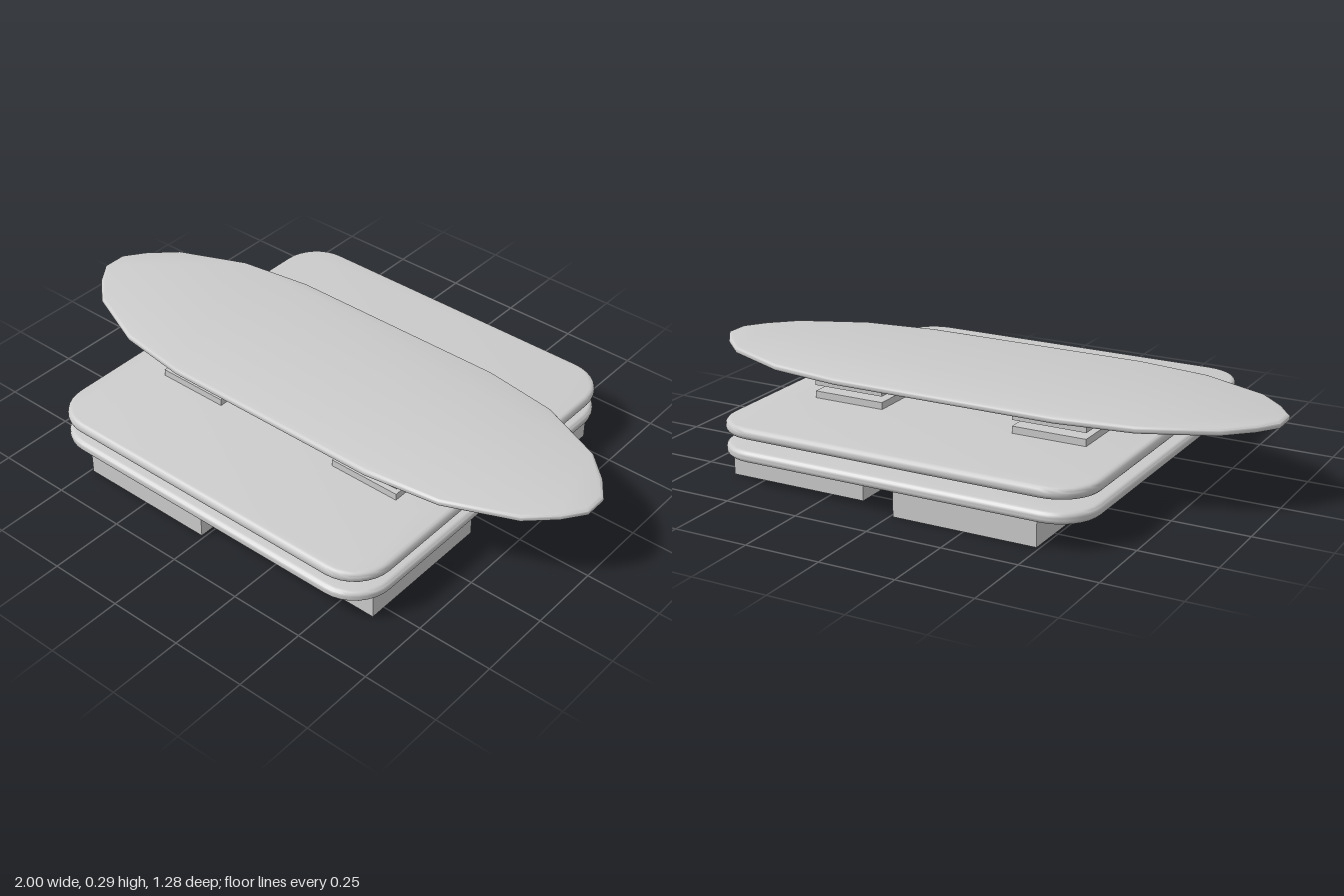
import * as THREE from 'three';
import { toCreasedNormals } from 'three/addons/utils/BufferGeometryUtils.js';

const material = new THREE.MeshStandardMaterial({ color: 0xcccccc });

// Flat slab with a rounded rim, extruded upwards from a plan outline
function slab(name, shape, y0, y1, bevel) {
  let geo = new THREE.ExtrudeGeometry(shape, {
    depth: y1 - y0 - 2 * bevel, curveSegments: 4,
    bevelEnabled: true, bevelThickness: bevel, bevelSize: bevel,
    bevelOffset: -bevel, bevelSegments: 3,
  });
  geo.rotateX(-Math.PI / 2);
  geo.translate(0, y0 + bevel, 0);
  geo = toCreasedNormals(geo, 0.7);
  const mesh = new THREE.Mesh(geo, material);
  mesh.name = name;
  return mesh;
}

function box(name, w, y0, y1, x, z) {
  const mesh = new THREE.Mesh(new THREE.BoxGeometry(w, y1 - y0, w), material);
  mesh.position.set(x, (y0 + y1) / 2, z);
  mesh.name = name;
  return mesh;
}

function roundedSquare(h, r) {
  const s = new THREE.Shape();
  const c = h - r;
  s.absarc(c, c, r, 0, Math.PI / 2);
  s.absarc(-c, c, r, Math.PI / 2, Math.PI);
  s.absarc(-c, -c, r, Math.PI, Math.PI * 1.5);
  s.absarc(c, -c, r, Math.PI * 1.5, Math.PI * 2);
  s.closePath();
  return s;
}

// Pointed oval outline, one quarter mirrored to four
function deckOutline() {
  const q = [[1, 0.04], [0.95, 0.11], [0.865, 0.19], [0.64, 0.287], [0.39, 0.322]];
  const half = [...q, ...q.map(([x, z]) => [-x, z]).reverse()];
  const all = [...half, ...half.map(([x, z]) => [x, -z]).reverse()];
  return new THREE.Shape(all.map(([x, z]) => new THREE.Vector2(x, z)));
}

// Short coil between a pair of pads
function spring(x, z) {
  const pts = [];
  for (let i = 0; i <= 24; i++) {
    const a = (i / 24) * Math.PI * 4;
    pts.push(new THREE.Vector3(Math.cos(a) * 0.046, 0.222 + 0.016 * (i / 24), Math.sin(a) * 0.046));
  }
  const geo = new THREE.TubeGeometry(new THREE.CatmullRomCurve3(pts), 64, 0.004, 6);
  const mesh = new THREE.Mesh(geo, material);
  mesh.position.set(x, 0, z);
  mesh.name = 'spring';
  return mesh;
}

export function createModel() {
  const model = new THREE.Group();
  model.name = 'balanceBoard';

  // Feet: the left pair sits closer together than the right pair
  for (const side of [-1, 1]) {
    model.add(box('foot', 0.48, 0, 0.088, 0.376, side * 0.312));
    model.add(box('foot', 0.48, 0, 0.088, -0.25, side * 0.378));
  }

  // Two base plates with a spacer block between them
  const plate = roundedSquare(0.642, 0.135);
  model.add(slab('lowerPlate', plate, 0.085, 0.122, 0.015));
  model.add(box('spacer', 0.415, 0.12, 0.162, 0, 0));
  model.add(slab('upperPlate', plate, 0.16, 0.197, 0.015));

  // Four spring mounts under the deck
  for (const sx of [-1, 1]) {
    for (const sz of [-1, 1]) {
      const x = sx * 0.357, z = sz * 0.157;
      const mount = new THREE.Group();
      mount.name = 'springMount';
      mount.add(box('lowerPad', 0.25, 0.195, 0.22, x, z));
      mount.add(spring(x, z));
      mount.add(box('upperPad', 0.25, 0.24, 0.265, x, z));
      model.add(mount);
    }
  }

  // Standing deck
  model.add(slab('deck', deckOutline(), 0.264, 0.287, 0.01));
  return model;
}
